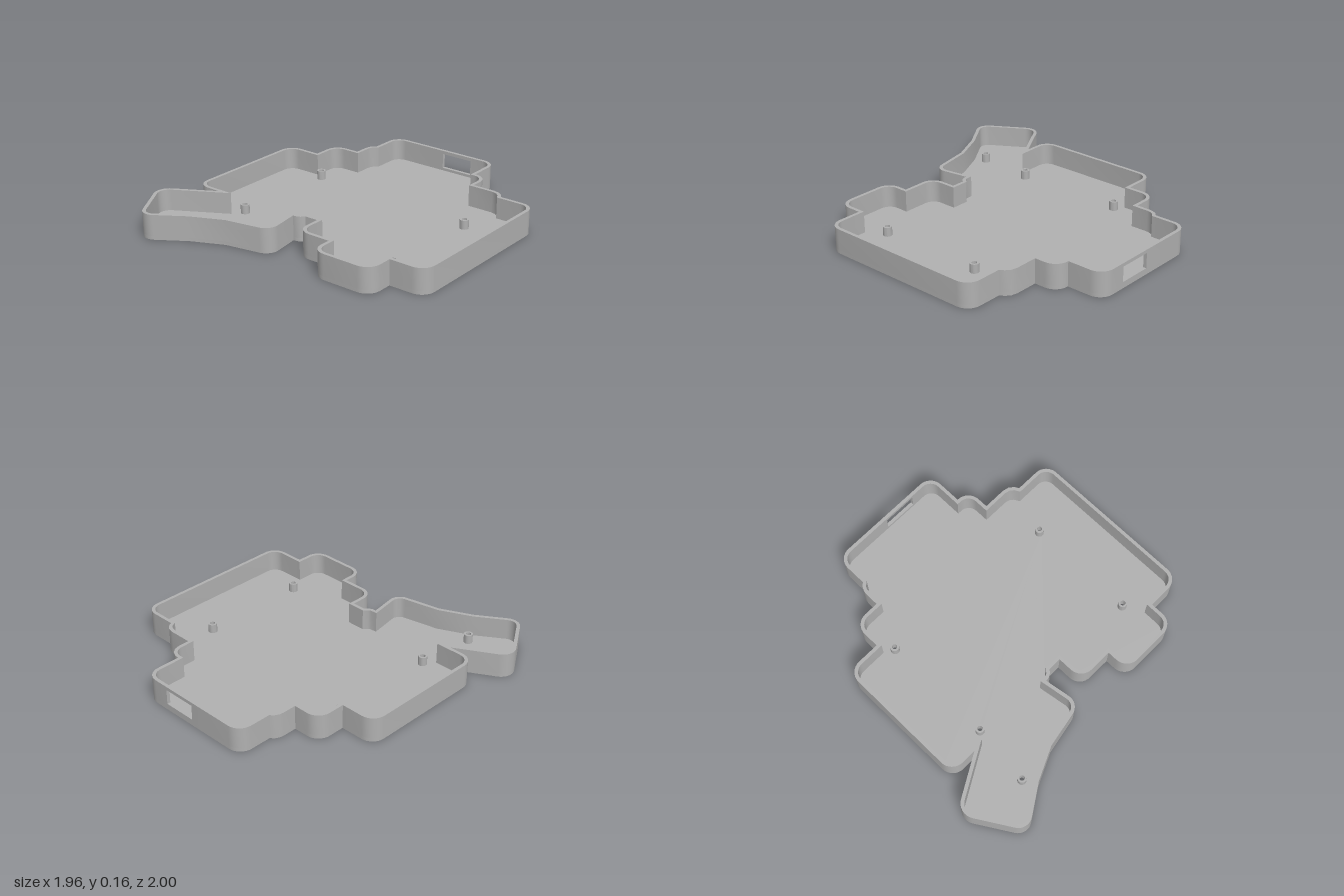
import * as THREE from 'three';
import { toCreasedNormals } from 'three/addons/utils/BufferGeometryUtils.js';

const HEIGHT = 0.16, FLOOR = 0.022, WALL = 0.022, POST_TOP = 0.08;
const R = 0.09;
const WINDOW = { x0: 0, x1: 0.22, y0: 0.04, y1: 0.138 };

// Outline seen from above as [x, z, corner radius], starting and ending at the back window
const OUTLINE = [
  [WINDOW.x1, -1], [0.405, -1, R], [0.405, -0.755], [0.5, -0.755, R], [0.5, -0.595],
  [0.65, -0.595], [0.69, -0.586], [0.72, -0.562], [0.735, -0.535],
  [0.98, -0.535, R], [0.98, 0.595, R], [0.74, 0.595], [0.74, 0.77, R],
  [0.325, 0.77, R], [0.325, 0.617], [0.087, 0.617, R], [0.087, 0.435],
  [0, 0.435], [-0.02, 0.458], [-0.045, 0.469], [-0.067, 0.47],
  [-0.029, 0.711, 0.08], [-0.335, 0.77], [-0.54, 0.865], [-0.787, 1.027, 0.08],
  [-1.013, 0.663, R], [-0.675, 0.47],
  [-0.86, 0.47, R], [-0.86, -0.415, R], [-0.625, -0.415], [-0.625, -0.61, R],
  [-0.44, -0.61], [-0.44, -0.70], [-0.436, -0.727], [-0.422, -0.755], [-0.4, -0.773],
  [-0.4, -1, R], [WINDOW.x0, -1],
];

const POSTS = [[-0.54, -0.355], [0.65, -0.27], [-0.54, 0.38], [0.65, 0.445], [-0.58, 0.77]];

// Replaces every corner that has a radius by an arc
function roundCorners(list, steps = 8) {
  const pts = list.map(([x, z]) => new THREE.Vector2(x, z));
  const out = [];
  list.forEach(([, , r], i) => {
    const p = pts[i];
    if (!r) { out.push(p); return; }
    const u = pts[i - 1].clone().sub(p).normalize();
    const v = pts[i + 1].clone().sub(p).normalize();
    const half = Math.acos(u.dot(v)) / 2;
    const t = r / Math.tan(half);
    const c = p.clone().addScaledVector(u.clone().add(v).normalize(), r / Math.sin(half));
    const a0 = p.clone().addScaledVector(u, t).sub(c).angle();
    const a1 = p.clone().addScaledVector(v, t).sub(c).angle();
    let d = a1 - a0;
    if (d > Math.PI) d -= 2 * Math.PI;
    if (d < -Math.PI) d += 2 * Math.PI;
    for (let k = 0; k <= steps; k++) {
      const a = a0 + d * k / steps;
      out.push(new THREE.Vector2(c.x + r * Math.cos(a), c.y + r * Math.sin(a)));
    }
  });
  return out;
}

// Moves the outline inwards by a constant wall thickness
function inset(pts, dist) {
  const normal = (a, b) => {
    const d = b.clone().sub(a).normalize();
    return new THREE.Vector2(-d.y, d.x);
  };
  const n = pts.length;
  return pts.map((p, i) => {
    const n1 = normal(pts[(i + n - 1) % n], p);
    const n2 = normal(p, pts[(i + 1) % n]);
    return p.clone().addScaledVector(n1.clone().add(n2), dist / (1 + n1.dot(n2)));
  });
}

const toShape = (pts) => new THREE.Shape(pts.map((p) => new THREE.Vector2(p.x, -p.y)));

const circlePath = (x, z, r) => new THREE.Path().absarc(x, -z, r, 0, Math.PI * 2, true);

// Extrudes a plan shape upwards between two heights
function slab(shape, y0, y1) {
  const geo = new THREE.ExtrudeGeometry(shape, { depth: y1 - y0, bevelEnabled: false, curveSegments: 12 });
  geo.rotateX(-Math.PI / 2);
  geo.translate(0, y0, 0);
  return toCreasedNormals(geo, 0.6);
}

export function createModel() {
  const group = new THREE.Group();
  group.name = 'caseTray';
  const grey = new THREE.MeshStandardMaterial({ color: 0xb0b0b0 });
  grey.name = 'grey plastic';
  const add = (name, geo) => {
    const mesh = new THREE.Mesh(geo, grey);
    mesh.name = name;
    group.add(mesh);
    return mesh;
  };

  const outer = roundCorners(OUTLINE);
  const inner = inset(outer, WALL);

  // Floor plate with screw holes
  const floorShape = toShape(outer);
  POSTS.forEach(([x, z]) => floorShape.holes.push(circlePath(x, z, 0.016)));
  add('floor', slab(floorShape, 0, FLOOR));

  // Wall running all the way round except for the window gap
  add('wall', slab(toShape([...outer, ...inner.slice().reverse()]), FLOOR, HEIGHT));

  // Sill and lintel closing the gap below and above the window
  const bridge = (name, y0, y1) => {
    const width = WINDOW.x1 - WINDOW.x0;
    add(name, new THREE.BoxGeometry(width, y1 - y0, WALL))
      .position.set(WINDOW.x0 + width / 2, (y0 + y1) / 2, -1 + WALL / 2);
  };
  bridge('windowSill', FLOOR, WINDOW.y0);
  bridge('windowLintel', WINDOW.y1, HEIGHT);

  // Hollow screw posts
  POSTS.forEach(([x, z], i) => {
    const ring = new THREE.Shape().absarc(x, -z, 0.028, 0, Math.PI * 2, false);
    ring.holes.push(circlePath(x, z, 0.016));
    add('screwPost' + (i + 1), slab(ring, FLOOR, POST_TOP));
  });

  return group;
}
